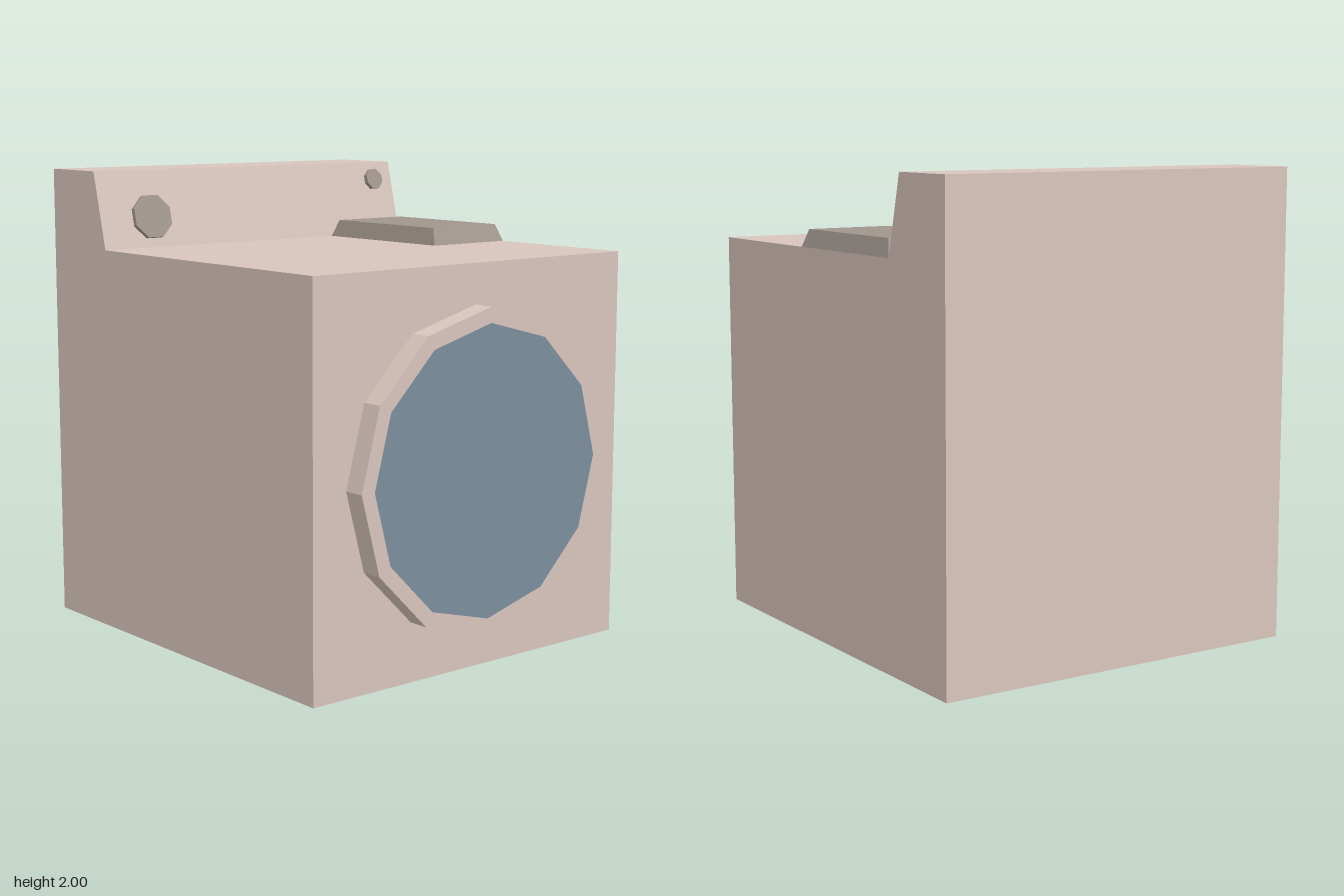
import * as THREE from 'three';

const mat = (name, color) => {
  const m = new THREE.MeshStandardMaterial({ color });
  m.name = name;
  return m;
};

export function createModel() {
  const group = new THREE.Group();
  const casing = mat('warm beige casing', 0xd8c5bc);
  const trim = mat('grey trim', 0xa0958d);
  const blue = mat('blue glass', 0x7b8e9c);
  const add = (name, geometry, material) => {
    const mesh = new THREE.Mesh(geometry, material);
    mesh.name = name;
    group.add(mesh);
    return mesh;
  };

  // Cabinet: side profile (z, y) extruded across the width, with a sloped control panel
  const halfWidth = 0.833;
  const profile = new THREE.Shape([
    [-0.96, 0], [0.867, 0], [0.867, 1.667], [-0.55, 1.667], [-0.633, 2], [-0.96, 2],
  ].map(([z, y]) => new THREE.Vector2(z, y)));
  const body = new THREE.ExtrudeGeometry(profile, { depth: halfWidth * 2, bevelEnabled: false });
  body.rotateY(-Math.PI / 2).translate(halfWidth, 0, 0);
  add('cabinet', body, casing);

  // Round door: twelve-sided ring with a flush glass pane
  const ngon = (radius, sides = 12) => Array.from({ length: sides }, (_, i) => {
    const a = (i / sides) * Math.PI * 2;
    return new THREE.Vector2(Math.cos(a) * radius, Math.sin(a) * radius);
  });
  const ring = new THREE.Shape(ngon(0.67));
  ring.holes.push(new THREE.Path(ngon(0.605).reverse()));
  const rim = add('doorRim', new THREE.ExtrudeGeometry(ring, { depth: 0.095, bevelEnabled: false }), casing);
  rim.position.set(0, 0.83, 0.865);
  const glass = add('doorGlass', new THREE.CircleGeometry(0.605, 12), blue);
  glass.position.set(0, 0.83, 0.96);

  // Detergent lid: box with its top edges drawn in
  const lid = new THREE.BoxGeometry(0.418, 0.075, 0.715);
  const p = lid.attributes.position;
  for (let i = 0; i < p.count; i++) {
    if (p.getY(i) > 0) {
      p.setX(i, p.getX(i) - Math.sign(p.getX(i)) * 0.02);
      p.setZ(i, p.getZ(i) - Math.sign(p.getZ(i)) * 0.032);
    }
  }
  lid.computeVertexNormals();
  add('detergentLid', lid, trim).position.set(0.624, 1.7045, -0.1905);

  // Octagonal dials standing square to the sloped panel
  const tilt = Math.atan2(0.083, 0.333);
  const dial = (name, x, y, radius) => {
    const geometry = new THREE.CylinderGeometry(radius, radius, 0.03, 8, 1, false, Math.PI / 8).toNonIndexed();
    geometry.computeVertexNormals();
    const mesh = add(name, geometry, trim);
    mesh.rotation.x = Math.PI / 2 - tilt;
    mesh.position.set(x, y, -0.55 - (y - 1.667) * 0.25 + 0.006);
  };
  dial('programDial', -0.577, 1.798, 0.1);
  dial('powerButton', 0.715, 1.92, 0.049);

  return group;
}
